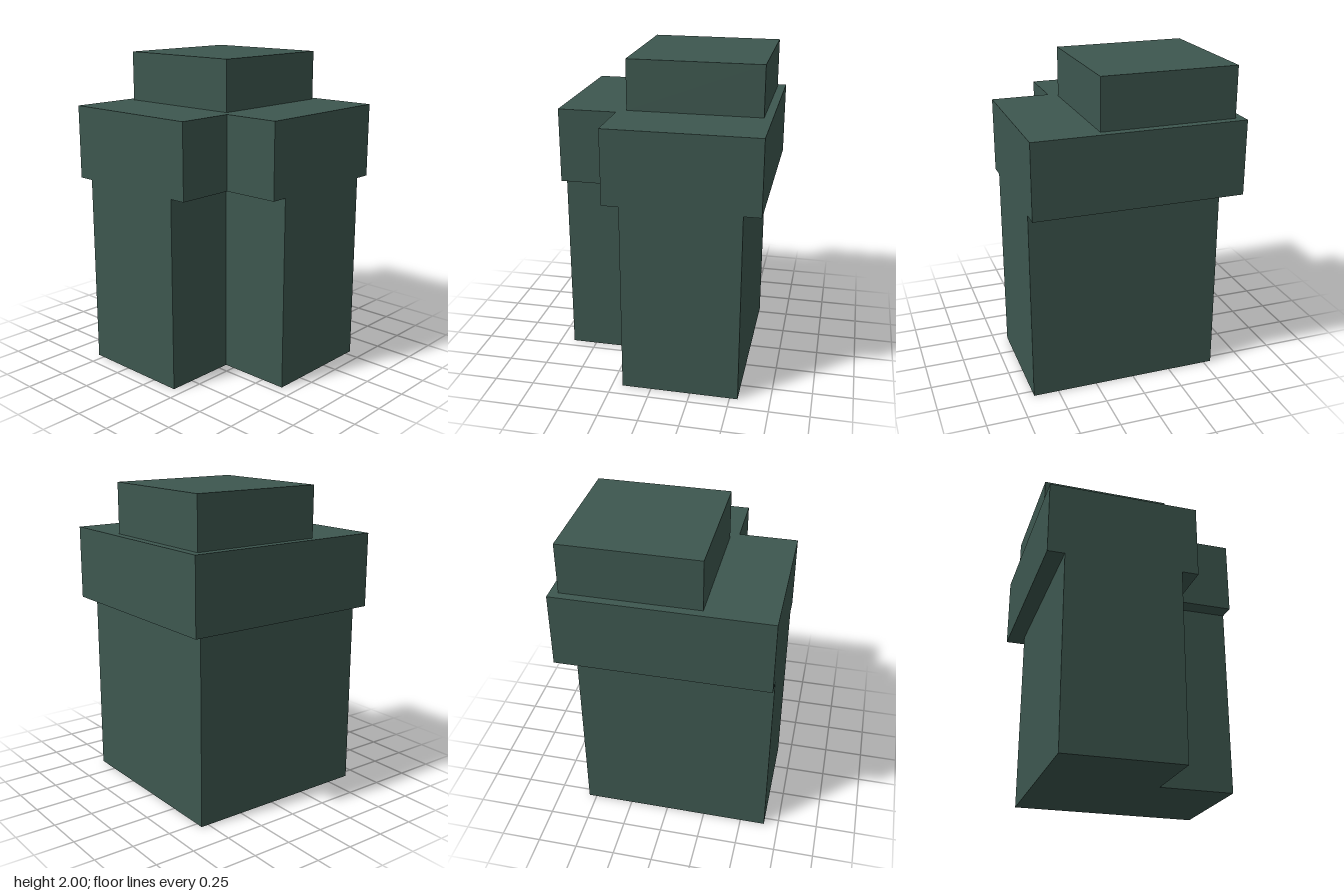
import * as THREE from 'three';

// L-shaped block: square plan from -0.66 to max, with the front right corner cut out at -notch
function notchedBlock(min, max, notch, bottom, top) {
  const plan = new THREE.Shape([
    [-notch, min], [max, min], [max, max], [min, max], [min, -notch], [-notch, -notch],
  ].map(([x, y]) => new THREE.Vector2(x, y)));
  const geometry = new THREE.ExtrudeGeometry(plan, { depth: top - bottom, bevelEnabled: false });
  return geometry.rotateX(-Math.PI / 2).translate(0, bottom, 0);
}

export function createModel() {
  const model = new THREE.Group();
  const darkGreen = new THREE.MeshStandardMaterial({ color: 0x3d574f });
  darkGreen.name = 'darkGreen';

  const add = (name, geometry) => {
    const mesh = new THREE.Mesh(geometry, darkGreen);
    mesh.name = name;
    model.add(mesh);
    return mesh;
  };

  // Main shaft and the wider collar overhanging its two rear faces
  add('shaft', notchedBlock(-0.658, 0.55, 0.184, 0, 1.215));
  add('collar', notchedBlock(-0.658, 0.656, 0.29, 1.215, 1.683));

  // Square cap set toward the back left corner
  add('cap', new THREE.BoxGeometry(0.841, 0.317, 0.841)).position.set(0.183, 1.8415, -0.183);

  return model;
}
